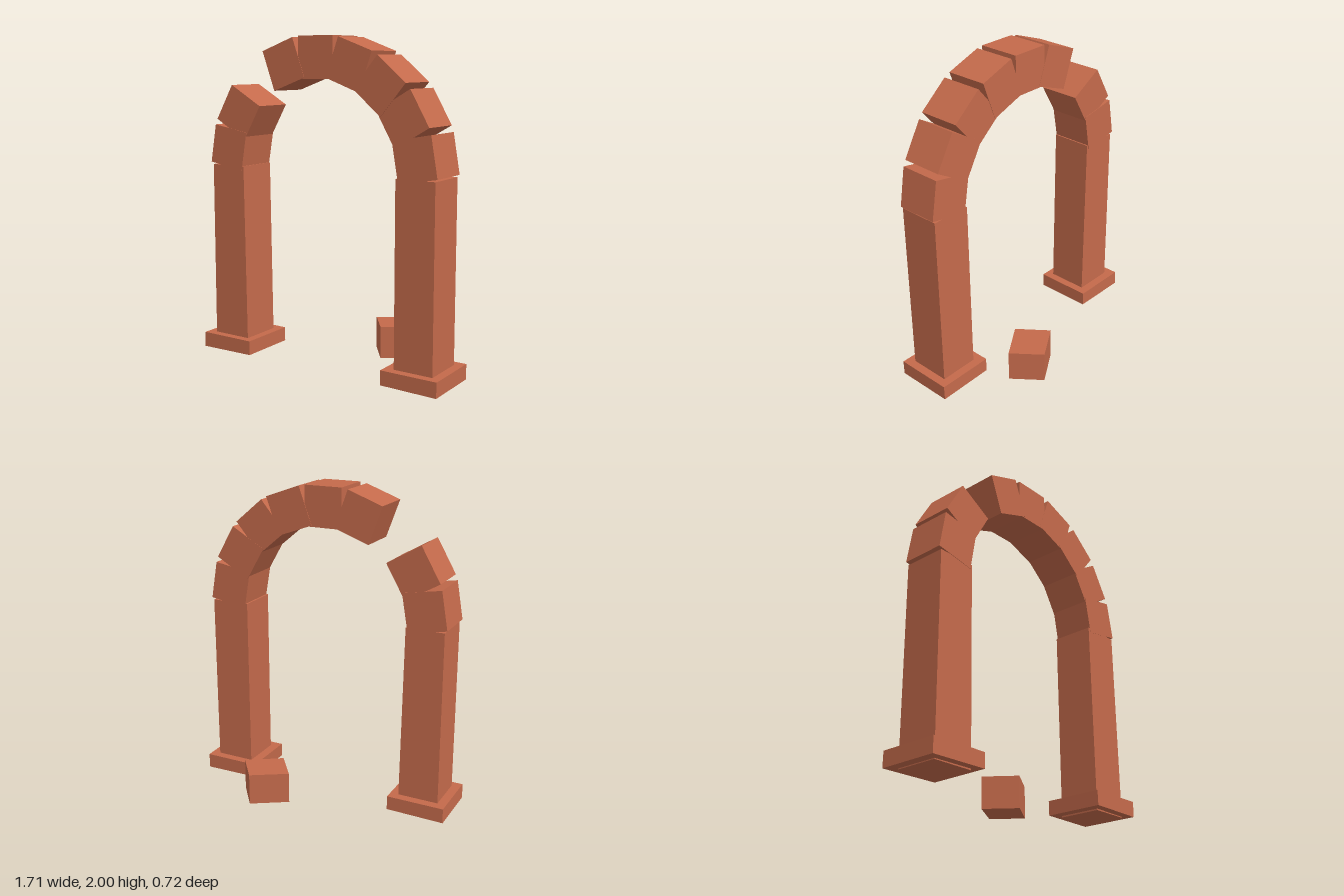
import * as THREE from 'three';

const brick = new THREE.MeshStandardMaterial({ color: 0xc46a4b });
brick.name = 'terracotta';

// Four-sided block: front outline in x/y, extruded between z0 and z1
function block(name, corners, z0, z1) {
  const shape = new THREE.Shape(corners.map(([x, y]) => new THREE.Vector2(x, y)));
  const geo = new THREE.ExtrudeGeometry(shape, { depth: z1 - z0, bevelEnabled: false });
  geo.translate(0, 0, z0);
  const mesh = new THREE.Mesh(geo, brick);
  mesh.name = name;
  return mesh;
}

export function createModel() {
  const group = new THREE.Group();
  group.name = 'ruinedArch';

  // Plinths
  group.add(
    block('rightPlinth', [[-0.855, 0.005], [-0.483, 0.01], [-0.483, 0.1], [-0.853, 0.1]], -0.02, 0.352),
    block('leftPlinth', [[0.487, 0.01], [0.848, 0.005], [0.85, 0.1], [0.485, 0.1]], -0.017, 0.355),
  );

  // Pillars, running down through the plinths
  group.add(
    block('rightPillar', [[-0.797, 0], [-0.535, 0], [-0.549, 1.205], [-0.793, 1.205]], 0.037, 0.303),
    block('leftPillar', [[0.545, 0], [0.796, 0], [0.796, 1.205], [0.545, 1.205]], 0.037, 0.303),
  );

  // Arch stones: angle from the crown in degrees, width, back z, front z
  const inner = 0.55, outer = 0.8, springY = 1.2;
  const stones = [
    [-80, 0.242, 0.034, 0.305], [-60, 0.246, 0.037, 0.302],
    [-20, 0.236, 0.035, 0.303], [0, 0.244, 0.037, 0.301],
    [20, 0.24, 0.034, 0.302], [40, 0.238, 0.036, 0.304],
    [60, 0.24, 0.035, 0.301], [80, 0.244, 0.037, 0.304],
  ];
  stones.forEach(([deg, width, z0, z1], i) => {
    const a = THREE.MathUtils.degToRad(deg), c = Math.cos(a), s = Math.sin(a), w = width / 2;
    const at = (t, r) => [t * c + r * s, springY - t * s + r * c];
    group.add(block('archStone' + (i + 1), [at(-w, inner), at(w, inner), at(w, outer), at(-w, outer)], z0, z1));
  });

  // Fallen stone lying behind the arch; its footprint is drawn in x/-z and stood up
  const fallen = block('fallenStone', [[0.245, 0.045], [0.455, 0.185], [0.318, 0.36], [0.105, 0.227]], 0.015, 0.215);
  fallen.rotation.x = -Math.PI / 2;
  group.add(fallen);

  return group;
}
